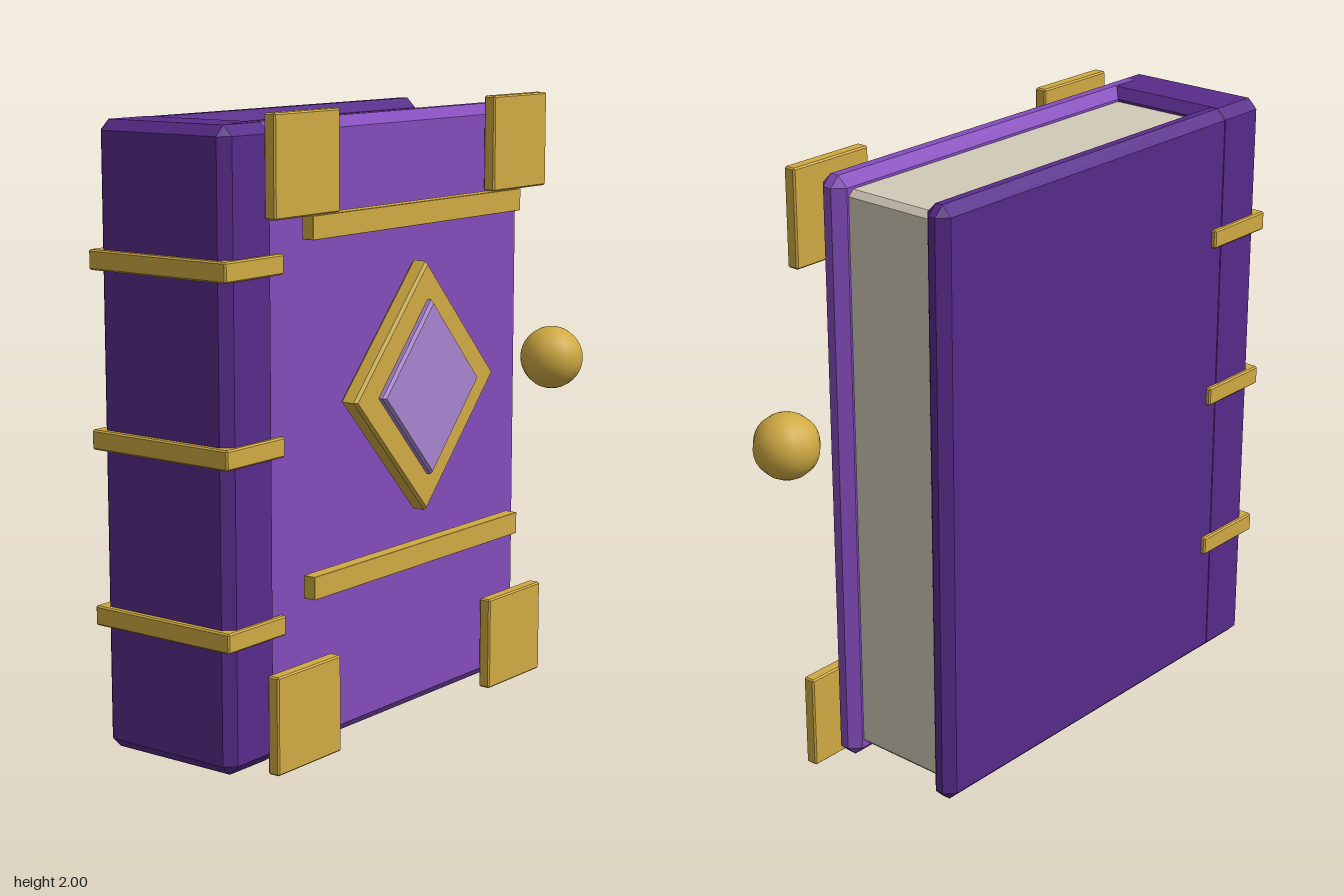
import * as THREE from 'three';
import { ConvexGeometry } from 'three/addons/geometries/ConvexGeometry.js';

const material = (name, color) => {
  const m = new THREE.MeshStandardMaterial({ color });
  m.name = name;
  return m;
};

// Box with flat chamfers on every edge, given by its extents.
function chamferBox([x0, x1], [y0, y1], [z0, z1], c) {
  const half = [(x1 - x0) / 2, (y1 - y0) / 2, (z1 - z0) / 2];
  const points = [];
  for (const sx of [-1, 1]) for (const sy of [-1, 1]) for (const sz of [-1, 1]) {
    for (let axis = 0; axis < 3; axis++) {
      const p = half.map((h, i) => (i === axis ? h : h - c));
      points.push(new THREE.Vector3(p[0] * sx, p[1] * sy, p[2] * sz));
    }
  }
  const geometry = new ConvexGeometry(points);
  geometry.translate((x0 + x1) / 2, (y0 + y1) / 2, (z0 + z1) / 2);
  return geometry;
}

// Upright diamond plate with a bevelled front and back rim.
function diamond(w, h, z0, z1, bevel) {
  const points = [];
  const k = 1 - bevel / w;
  for (const [z, s] of [[z0, k], [z0 + bevel, 1], [z1 - bevel, 1], [z1, k]]) {
    for (const [x, y] of [[w, 0], [0, h], [-w, 0], [0, -h]]) {
      points.push(new THREE.Vector3(x * s, y * s, z));
    }
  }
  return new ConvexGeometry(points).translate(0.037, 1.105, 0);
}

export function createModel() {
  const cover = material('purple cover', 0x844cbc);
  const dark = material('dark purple binding', 0x582b8a);
  const gold = material('gold', 0xd0aa42);
  const paper = material('paper', 0xd2cab8);
  const gem = material('lilac gem', 0xa885d0);

  const model = new THREE.Group();
  model.name = 'book';
  const add = (name, geometry, mat) => {
    const mesh = new THREE.Mesh(geometry, mat);
    mesh.name = name;
    model.add(mesh);
  };

  // Binding and page block
  add('spine', chamferBox([-0.84, -0.61], [0.032, 1.97], [-0.34, 0.17], 0.032), dark);
  add('frontCover', chamferBox([-0.77, 0.682], [0.031, 1.971], [0.07, 0.167], 0.033), cover);
  add('backCover', chamferBox([-0.77, 0.682], [0.031, 1.969], [-0.338, -0.248], 0.032), dark);
  add('pages', chamferBox([-0.7, 0.642], [0.075, 1.93], [-0.285, 0.11], 0.019), paper);

  // Bands wrapped round the spine
  for (const y of [0.455, 1.005, 1.553]) {
    add('spineBand', chamferBox([-0.86, -0.592], [y - 0.031, y + 0.031], [-0.353, 0.184], 0.005), gold);
  }

  // Corner plates and the bars between them
  for (const y of [[0.005, 0.315], [1.69, 2.0]]) {
    for (const x of [[-0.676, -0.368], [0.447, 0.755]]) {
      add('cornerPlate', chamferBox(x, y, [0.177, 0.219], 0.005), gold);
    }
  }
  for (const y of [0.558, 1.655]) {
    add('coverBar', chamferBox([-0.51, 0.59], [y - 0.036, y + 0.036], [0.185, 0.228], 0.001), gold);
  }

  // Central ornament
  add('gemFrame', diamond(0.37, 0.4, 0.187, 0.25, 0.01), gold);
  add('gemStone', diamond(0.255, 0.28, 0.22, 0.274, 0.01), gem);

  // Clasp knob at the fore edge
  const knob = new THREE.SphereGeometry(0.106, 12, 16);
  knob.translate(0.757, 1.107, 0.252);
  add('claspKnob', knob, gold);

  // Centre the depth on z = 0
  return model;
}
